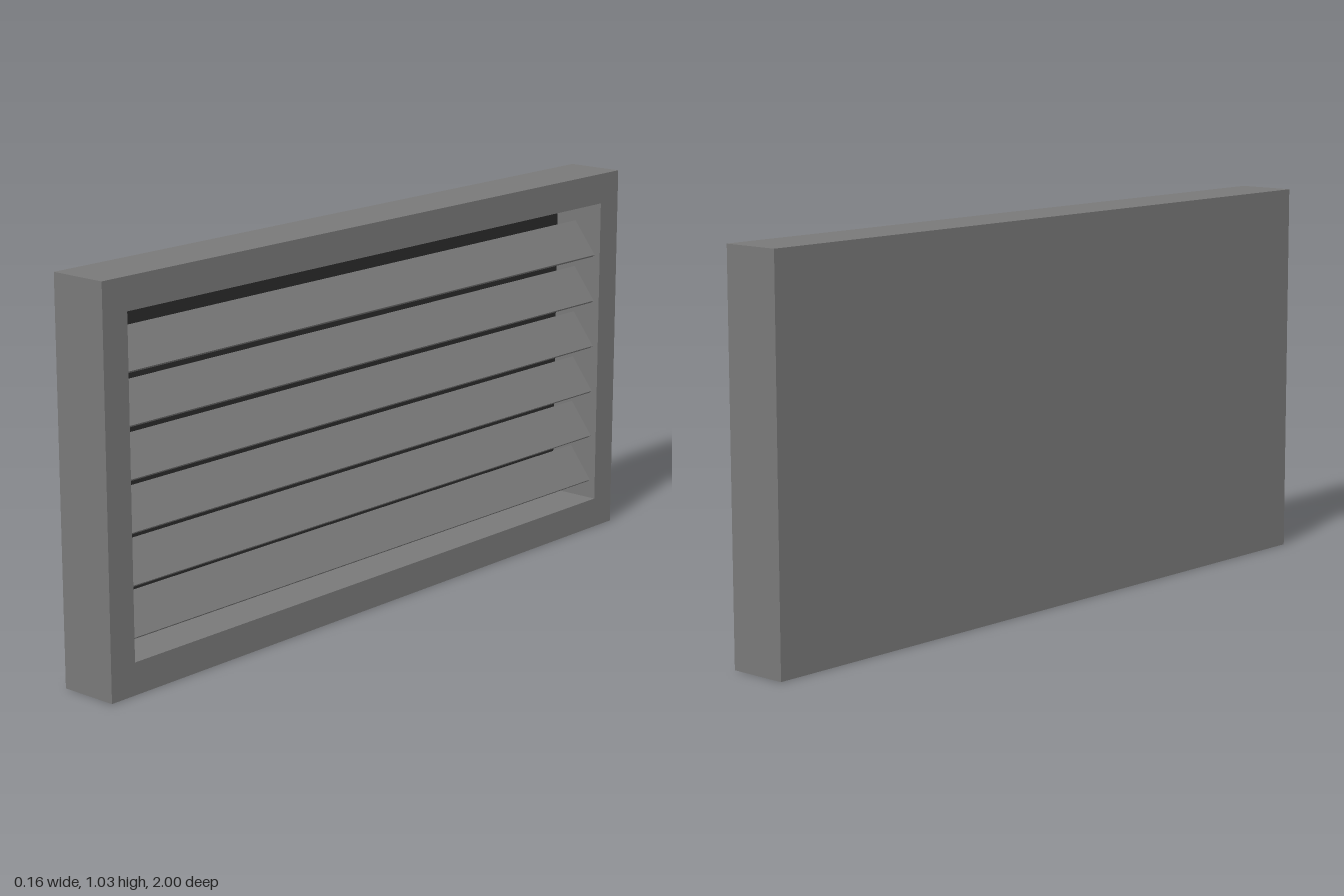
import * as THREE from 'three';

const DEPTH = 0.162, HEIGHT = 1.034, LENGTH = 2;
const SIDE_BORDER = 0.079, END_BORDER = 0.084;
const PLATE = 0.005;
const SLATS = 6, PITCH = 0.1324, TILT = THREE.MathUtils.degToRad(52.5);

// Adds a rectangle outline, centred on the origin, to a shape or path
function rectangle(path, w, h) {
  path.moveTo(-w / 2, -h / 2);
  path.lineTo(w / 2, -h / 2);
  path.lineTo(w / 2, h / 2);
  path.lineTo(-w / 2, h / 2);
  path.closePath();
  return path;
}

export function createModel() {
  const group = new THREE.Group();
  group.name = 'louverVent';
  const grey = new THREE.MeshStandardMaterial({ color: 0x797979, flatShading: true });
  const dark = new THREE.MeshStandardMaterial({ color: 0x2a2a2a, flatShading: true });
  const openLength = LENGTH - 2 * SIDE_BORDER, openHeight = HEIGHT - 2 * END_BORDER;

  function add(name, geometry, material, x, y) {
    const mesh = new THREE.Mesh(geometry, material);
    mesh.name = name;
    mesh.position.set(x, y, 0);
    group.add(mesh);
    return mesh;
  }

  // Rectangular frame, open towards +x
  const outline = rectangle(new THREE.Shape(), LENGTH, HEIGHT);
  outline.holes.push(rectangle(new THREE.Path(), openLength, openHeight));
  const frame = new THREE.ExtrudeGeometry(outline, { depth: DEPTH, bevelEnabled: false });
  frame.translate(0, 0, -DEPTH / 2).rotateY(Math.PI / 2);
  add('frame', frame, grey, 0, HEIGHT / 2);

  // Grey back plate with a dark lining facing the slats
  const plate = new THREE.BoxGeometry(PLATE, openHeight, openLength);
  add('backPlate', plate, grey, (PLATE - DEPTH) / 2, HEIGHT / 2);
  add('darkLining', plate, dark, (3 * PLATE - DEPTH) / 2, HEIGHT / 2);

  // Slats sloping down towards the open side
  const slat = new THREE.BoxGeometry(0.115, 0.011, openLength);
  for (let i = 0; i < SLATS; i++) {
    const y = HEIGHT / 2 - 0.006 + (i - (SLATS - 1) / 2) * PITCH;
    add(`slat${i + 1}`, slat, grey, 0.024, y).rotation.z = -TILT;
  }
  return group;
}
